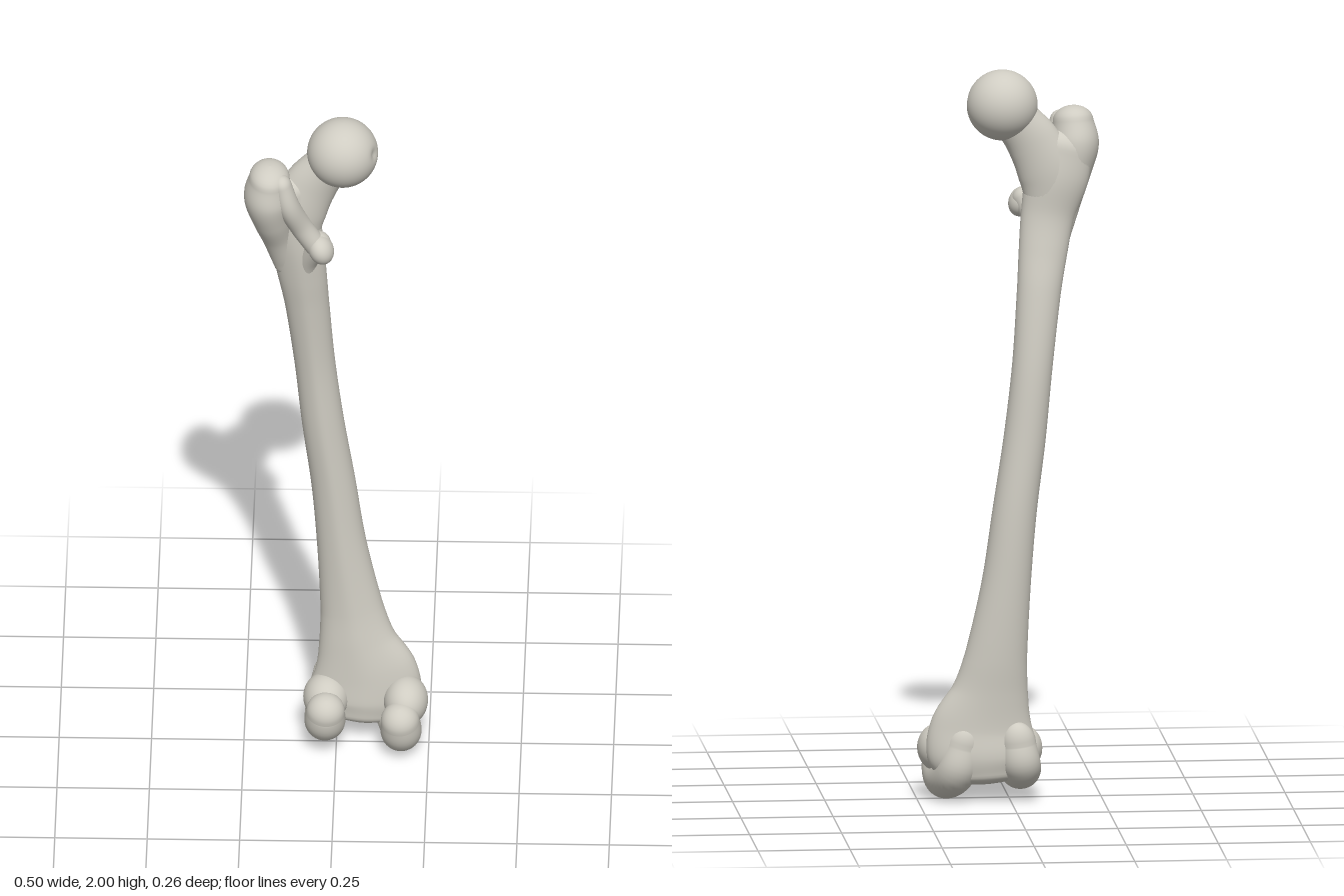
import * as THREE from 'three';

const bone = new THREE.MeshStandardMaterial({ color: 0xcfccc2 });
bone.name = 'bone';

// Smooth loft through sections [x, y, z, radiusA, radiusB]; radius A lies along ref.
// Both ends close with domes of the given heights. ridge swells the +B side.
function loft(name, sections, { ref = [1, 0, 0], domes = [0.04, 0.04], steps = 8, sides = 40, ridge = 0 } = {}) {
  const path = new THREE.CatmullRomCurve3(sections.map(s => new THREE.Vector3(s[0], s[1], s[2])));
  const size = new THREE.CatmullRomCurve3(sections.map(s => new THREE.Vector3(s[3], s[4], 0)), false, 'catmullrom', 0.5);
  const K = 8, N = steps * (sections.length - 1), stations = [];
  for (let k = 0; k < K; k++) stations.push([0, -domes[0], (1 - k / K) * Math.PI / 2]);
  for (let i = 0; i <= N; i++) stations.push([i / N, 0, 0]);
  for (let k = 1; k <= K; k++) stations.push([1, domes[1], (k / K) * Math.PI / 2]);

  const pos = [], index = [];
  stations.forEach(([t, dome, ang], i) => {
    const T = path.getTangent(t), r = size.getPoint(t);
    const A = new THREE.Vector3(...ref);
    A.addScaledVector(T, -A.dot(T)).normalize();
    const B = T.clone().cross(A);
    const c = path.getPoint(t).addScaledVector(T, dome * Math.sin(ang));
    const s = Math.max(Math.cos(ang), 0.002);
    for (let j = 0; j < sides; j++) {
      const th = (j / sides) * Math.PI * 2;
      const swell = 1 + ridge * Math.exp(-(((th - Math.PI / 2) / 0.35) ** 2));
      const p = c.clone()
        .addScaledVector(A, Math.cos(th) * r.x * s)
        .addScaledVector(B, Math.sin(th) * r.y * s * swell);
      pos.push(p.x, p.y, p.z);
      if (i < stations.length - 1) {
        const a = i * sides + j, b = i * sides + (j + 1) % sides;
        index.push(a, b, a + sides, b, b + sides, a + sides);
      }
    }
  });
  const geo = new THREE.BufferGeometry();
  geo.setAttribute('position', new THREE.Float32BufferAttribute(pos, 3));
  geo.setIndex(index);
  geo.computeVertexNormals();
  const mesh = new THREE.Mesh(geo, bone);
  mesh.name = name;
  return mesh;
}

function ellipsoid(name, [x, y, z], [rx, ry, rz], tilt = 0) {
  const mesh = new THREE.Mesh(new THREE.SphereGeometry(1, 40, 28), bone);
  mesh.name = name;
  mesh.position.set(x, y, z);
  mesh.scale.set(rx, ry, rz);
  mesh.rotation.z = tilt;
  return mesh;
}

// Ball head with a small pit on its inner side
function ballHead() {
  const R = 0.096, geo = new THREE.SphereGeometry(R, 72, 48);
  const pit = new THREE.Vector3(0.93, 0.15, 0.33).normalize();
  const p = geo.attributes.position, v = new THREE.Vector3();
  for (let i = 0; i < p.count; i++) {
    v.fromBufferAttribute(p, i);
    const d = v.angleTo(pit);
    v.multiplyScalar(1 - 0.09 * Math.exp(-((d / 0.17) ** 2)));
    p.setXYZ(i, v.x, v.y, v.z);
  }
  geo.computeVertexNormals();
  const mesh = new THREE.Mesh(geo, bone);
  mesh.name = 'ballHead';
  mesh.position.set(0.017, 1.904, 0.008);
  return mesh;
}

export function createModel() {
  const group = new THREE.Group();
  group.name = 'thighBone';

  // Bowed shaft, listed from the top down so the ridge faces +z
  group.add(loft('shaft', [
    [-0.150, 1.78, 0.015, 0.080, 0.052],
    [-0.130, 1.70, 0.008, 0.086, 0.052],
    [-0.106, 1.60, 0.006, 0.073, 0.046],
    [-0.092, 1.50, -0.008, 0.066, 0.047],
    [-0.080, 1.40, -0.025, 0.060, 0.050],
    [-0.060, 1.20, -0.048, 0.055, 0.053],
    [-0.038, 1.00, -0.057, 0.057, 0.056],
    [-0.010, 0.80, -0.064, 0.060, 0.058],
    [0.013, 0.60, -0.064, 0.067, 0.058],
    [0.040, 0.40, -0.059, 0.085, 0.058],
    [0.055, 0.30, -0.052, 0.105, 0.059],
    [0.076, 0.20, -0.048, 0.143, 0.062],
    [0.079, 0.13, -0.050, 0.148, 0.068],
    [0.077, 0.085, -0.048, 0.125, 0.062],
  ], { domes: [0.05, 0.035], ridge: 0.06 }));

  // Upper end: head, neck, trochanters and the crest between them
  group.add(ballHead());
  group.add(loft('neck', [
    [0.010, 1.895, 0.006, 0.058, 0.066],
    [-0.024, 1.858, 0.004, 0.052, 0.064],
    [-0.068, 1.800, 0.004, 0.050, 0.073],
    [-0.108, 1.710, 0.006, 0.051, 0.080],
    [-0.110, 1.600, 0.006, 0.040, 0.060],
  ], { ref: [0, 0, 1] }));
  group.add(loft('greaterTrochanter', [
    [-0.135, 1.55, 0.010, 0.035, 0.025],
    [-0.158, 1.64, 0.022, 0.042, 0.045],
    [-0.174, 1.72, 0.038, 0.055, 0.068],
    [-0.183, 1.79, 0.048, 0.066, 0.080],
    [-0.180, 1.85, 0.056, 0.055, 0.066],
  ], { domes: [0.04, 0.042] }));
  group.add(loft('trochantericCrest', [
    [-0.145, 1.845, 0.085, 0.026, 0.030],
    [-0.128, 1.780, 0.085, 0.030, 0.034],
    [-0.095, 1.700, 0.062, 0.030, 0.032],
    [-0.055, 1.635, 0.055, 0.030, 0.032],
  ], { domes: [0.03, 0.03] }));
  group.add(ellipsoid('lesserTrochanter', [-0.040, 1.628, 0.066], [0.034, 0.042, 0.042], 0.4));
  group.add(loft('lesserTrochanterBase', [
    [-0.045, 1.64, 0.055, 0.032, 0.036],
    [-0.075, 1.57, 0.025, 0.028, 0.030],
    [-0.085, 1.50, 0.005, 0.025, 0.025],
  ], { domes: [0.03, 0.03] }));

  // Lower end: rounded runners sweeping from front to back under the joint
  group.add(loft('leftCondyle', [
    [0.130, 0.160, -0.076, 0.050, 0.042],
    [0.148, 0.092, -0.068, 0.056, 0.054],
    [0.172, 0.060, 0.000, 0.056, 0.057],
    [0.176, 0.078, 0.058, 0.055, 0.056],
    [0.174, 0.120, 0.074, 0.052, 0.054],
  ], { domes: [0.06, 0.05] }));
  group.add(loft('rightCondyle', [
    [-0.018, 0.165, -0.084, 0.048, 0.042],
    [-0.025, 0.110, -0.078, 0.054, 0.052],
    [-0.030, 0.084, -0.010, 0.056, 0.056],
    [-0.030, 0.100, 0.044, 0.055, 0.056],
    [-0.028, 0.138, 0.060, 0.052, 0.052],
  ], { domes: [0.06, 0.05] }));
  group.add(ellipsoid('leftEpicondyle', [0.188, 0.142, 0.005], [0.060, 0.066, 0.076]));
  group.add(ellipsoid('rightEpicondyle', [-0.028, 0.140, -0.010], [0.062, 0.066, 0.072]));

  return group;
}
